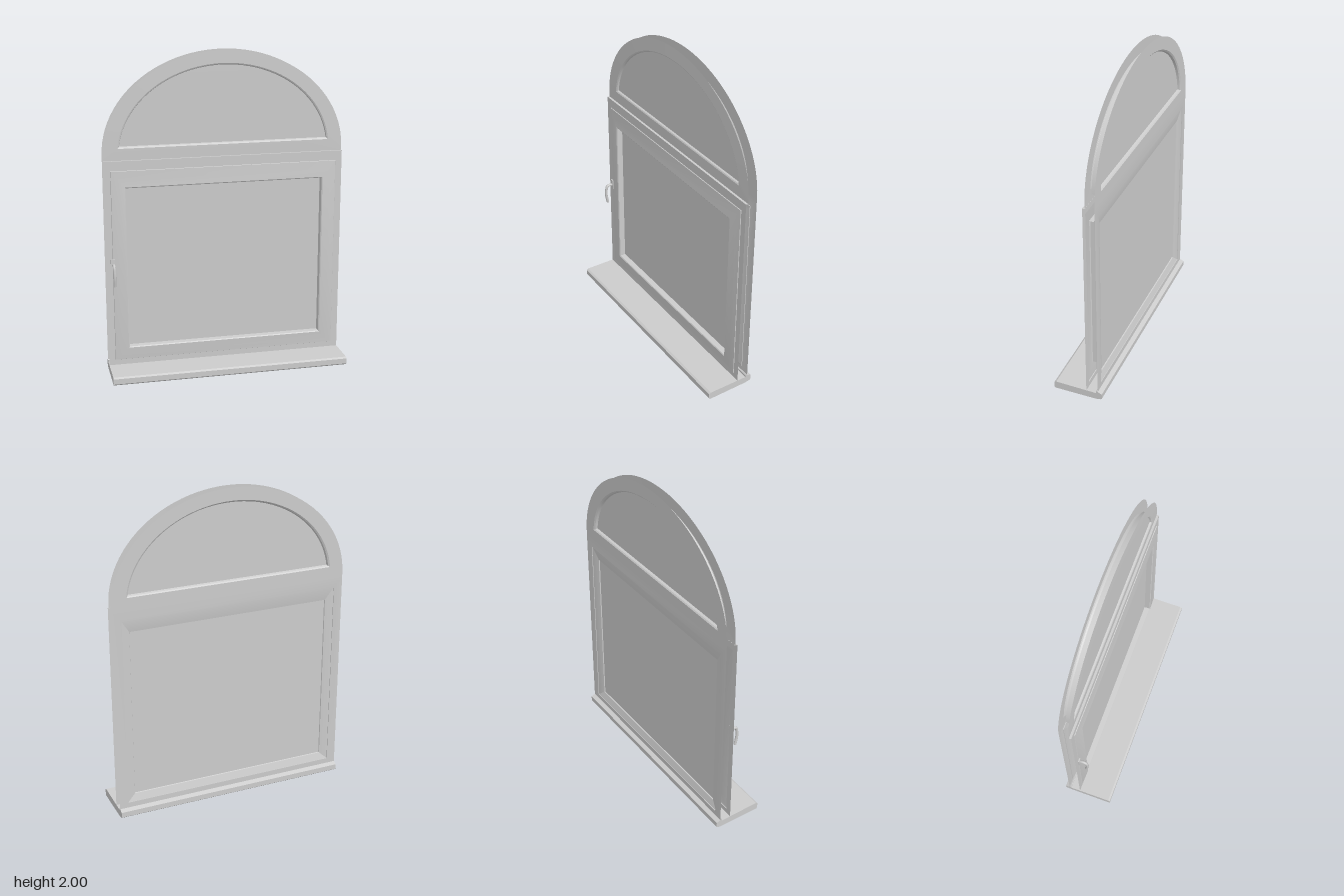
import * as THREE from 'three';
import { toCreasedNormals } from 'three/addons/utils/BufferGeometryUtils.js';

const material = new THREE.MeshStandardMaterial({ color: 0xcccccc });
const sheetMaterial = new THREE.MeshStandardMaterial({ color: 0xcccccc, side: THREE.DoubleSide });

// Closed rectangular loop, counter-clockwise from the front
const rectLoop = (w, y0, y1, z) => [[w, y0, z], [w, y1, z], [-w, y1, z], [-w, y0, z]];

// Half-elliptical loop above a straight bottom edge
const ARCH_BASE = 1.38;
function archLoop(a, top, bottom, z, n = 48) {
  const b = top - ARCH_BASE;
  const start = Math.asin(Math.max(0, (bottom - ARCH_BASE) / b));
  const pts = [];
  for (let i = 0; i <= n; i++) {
    const t = start + (Math.PI - 2 * start) * i / n;
    pts.push([a * Math.cos(t), ARCH_BASE + b * Math.sin(t), z]);
  }
  const end = pts[0][0];
  return [[end, bottom, z], ...pts, [-end, bottom, z]];
}

// Skin running from loop to loop
function loft(loops) {
  const pos = [];
  for (let k = 0; k < loops.length - 1; k++) {
    const A = loops[k], B = loops[k + 1];
    for (let i = 0; i < A.length; i++) {
      const j = (i + 1) % A.length;
      pos.push(...A[i], ...A[j], ...B[j], ...A[i], ...B[j], ...B[i]);
    }
  }
  const g = new THREE.BufferGeometry();
  g.setAttribute('position', new THREE.Float32BufferAttribute(pos, 3));
  return toCreasedNormals(g, 0.3);
}

const polygon = (pts) => new THREE.Shape(pts.map(([x, y]) => new THREE.Vector2(x, y)));

export function createModel() {
  const root = new THREE.Group();
  const add = (name, geometry, mat = material, x = 0, y = 0, z = 0) => {
    const m = new THREE.Mesh(geometry, mat);
    m.name = name;
    m.position.set(x, y, z);
    root.add(m);
    return m;
  };

  // Arched upper frame: open front and back skins with reveals to the pane
  add('archFrameFront', loft([
    archLoop(0.745, 2.0, 1.355, -0.07),
    archLoop(0.66, 1.922, 1.428, -0.068),
    archLoop(0.652, 1.915, 1.435, -0.072),
    archLoop(0.648, 1.91, 1.44, -0.084),
  ]), sheetMaterial);
  add('archFrameBack', loft([
    archLoop(0.645, 1.908, 1.44, -0.108),
    archLoop(0.65, 1.915, 1.435, -0.124),
    archLoop(0.66, 1.922, 1.428, -0.13),
    archLoop(0.745, 2.0, 1.355, -0.13),
  ]), sheetMaterial);

  // Lower frame with the ledge below the arch
  add('lowerFrameFront', loft([
    rectLoop(0.745, 0.045, 1.355, -0.056),
    rectLoop(0.705, 0.08, 1.295, -0.056),
  ]), sheetMaterial);
  const ledge = add('transomLedge', new THREE.PlaneGeometry(1.49, 0.015), sheetMaterial, 0, 1.355, -0.0635);
  ledge.rotation.x = -Math.PI / 2;
  add('lowerFrameBack', loft([
    rectLoop(0.635, 0.14, 1.205, -0.1),
    rectLoop(0.64, 0.135, 1.21, -0.112),
    rectLoop(0.69, 0.09, 1.288, -0.126),
    rectLoop(0.69, 0.09, 1.288, -0.13),
    rectLoop(0.745, 0.045, 1.355, -0.13),
  ]), sheetMaterial);

  // Raised bevelled sash around the lower pane
  add('sash', loft([
    rectLoop(0.705, 0.08, 1.295, -0.056),
    rectLoop(0.703, 0.082, 1.293, -0.052),
    rectLoop(0.66, 0.115, 1.24, -0.047),
    rectLoop(0.62, 0.16, 1.195, -0.041),
    rectLoop(0.614, 0.166, 1.189, -0.045),
    rectLoop(0.612, 0.168, 1.187, -0.082),
  ]), sheetMaterial);

  // Panes
  add('lowerPane', new THREE.BoxGeometry(1.28, 1.09, 0.026), material, 0, 0.67, -0.093);
  add('archPane', toCreasedNormals(new THREE.ExtrudeGeometry(
    polygon(archLoop(0.675, 1.94, 1.41, 0)),
    { depth: 0.028, bevelEnabled: false }), 0.3), material, 0, 0, -0.11);

  // Sill board and rear upstand: side profiles (z, y) swept across the width
  const sweep = (name, pts) => {
    const g = new THREE.ExtrudeGeometry(polygon(pts.map(([z, y]) => [-z, y])), { depth: 1.49, bevelEnabled: false });
    g.translate(0, 0, -0.745);
    add(name, g).rotation.y = Math.PI / 2;
  };
  sweep('sillBoard', [[0.157, 0.008], [0.15, 0], [-0.12, 0], [-0.12, 0.045], [0.145, 0.05], [0.157, 0.042]]);
  sweep('sillUpstand', [[-0.118, 0], [-0.15, 0.006], [-0.157, 0.012], [-0.157, 0.045], [-0.122, 0.06], [-0.118, 0.055]]);

  // Handle: base plate, neck and curved lever
  add('handlePlate', new THREE.BoxGeometry(0.026, 0.065, 0.008), material, -0.705, 0.71, -0.048);
  const lever = new THREE.CatmullRomCurve3([
    [-0.05, 0.705], [-0.025, 0.712], [-0.006, 0.705], [0.001, 0.675], [0.002, 0.635], [-0.008, 0.582],
  ].map(([z, y]) => new THREE.Vector3(-0.702, y, z)));
  add('handleLever', new THREE.TubeGeometry(lever, 24, 0.009, 10));
  const cap = add('handleTip', new THREE.SphereGeometry(0.009, 10, 8), material, -0.702, 0.582, -0.008);
  cap.scale.y = 0.5;

  return root;
}
